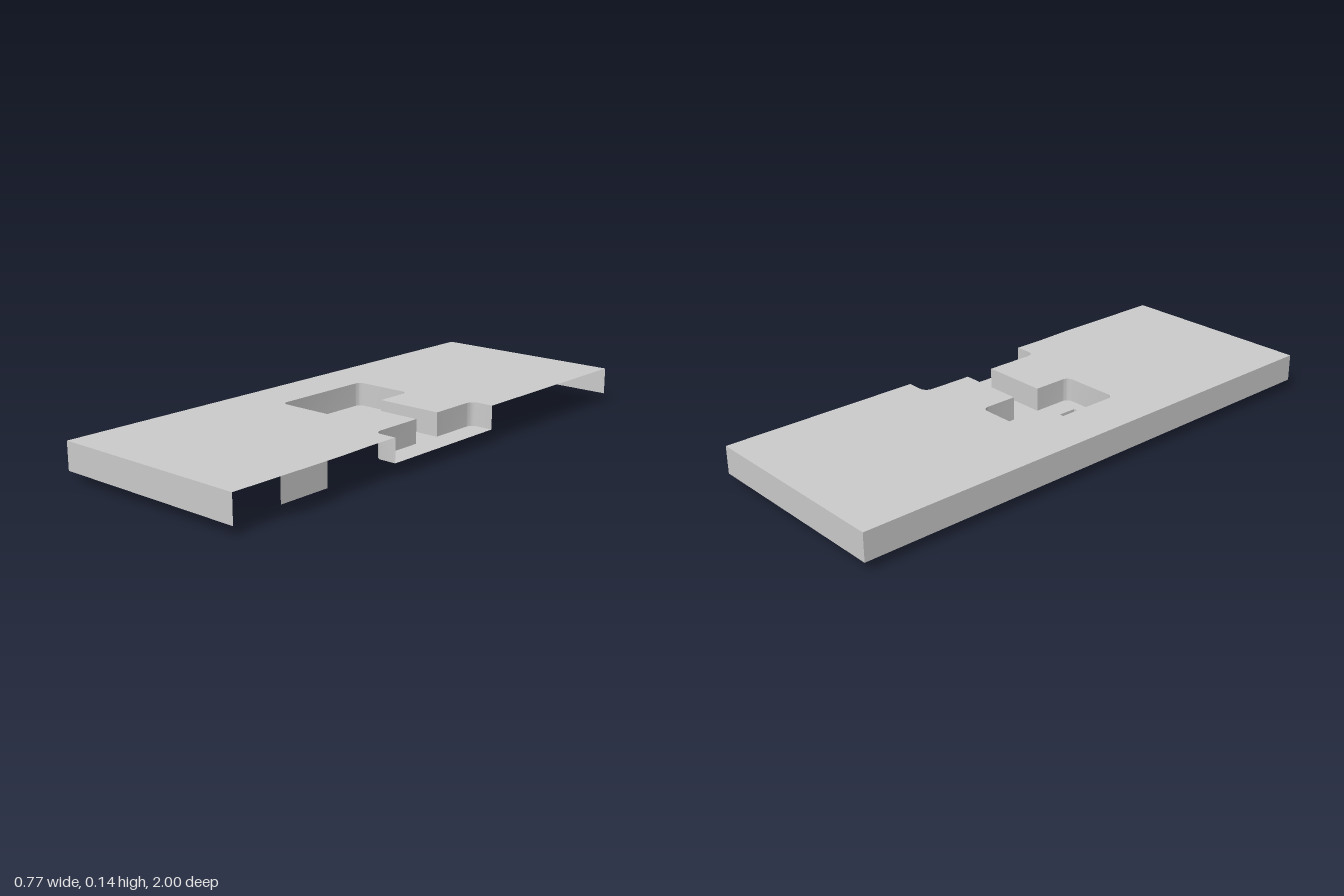
import * as THREE from 'three';
import { toCreasedNormals } from 'three/addons/utils/BufferGeometryUtils.js';

const TOP = 0.137, RIM = 0.036, FLOOR = 0.05;
const LEFT = 0.384, EDGE = 0.378;
const material = new THREE.MeshStandardMaterial({ color: 0xcccccc, side: THREE.DoubleSide });

// Turn [x, z, radius] corners into plan points, rounding corners that have a radius.
function roundCorners(corners) {
  const out = [];
  corners.forEach(([x, z, r], i) => {
    const p = new THREE.Vector2(x, z);
    if (!r) { out.push(p); return; }
    const toward = ([nx, nz]) => new THREE.Vector2(nx, nz).sub(p).setLength(r).add(p);
    const a = toward(corners[i - 1]), b = toward(corners[i + 1]);
    const centre = a.clone().add(b).sub(p);
    const start = a.clone().sub(centre), end = b.clone().sub(centre);
    for (let k = 0; k <= 6; k++) {
      const t = (k / 6) * Math.PI / 2;
      out.push(centre.clone().addScaledVector(start, Math.cos(t)).addScaledVector(end, Math.sin(t)));
    }
  });
  return out;
}

const flip = (points) => points.map((p) => new THREE.Vector2(p.x, -p.y));

// Horizontal sheet at height y, with optional holes.
function sheet(name, points, y, holes = []) {
  const shape = new THREE.Shape(flip(points));
  holes.forEach((h) => shape.holes.push(new THREE.Path(flip(h))));
  const geo = new THREE.ShapeGeometry(shape).rotateX(-Math.PI / 2).translate(0, y, 0);
  const mesh = new THREE.Mesh(geo, material);
  mesh.name = name;
  return mesh;
}

// Thin vertical wall that follows a plan path from y0 up to y1.
function wall(name, points, y0, y1) {
  const pos = [];
  for (let i = 0; i < points.length - 1; i++) {
    const { x: ax, y: az } = points[i], { x: bx, y: bz } = points[i + 1];
    pos.push(ax, y0, az, bx, y0, bz, bx, y1, bz, ax, y0, az, bx, y1, bz, ax, y1, az);
  }
  const geo = new THREE.BufferGeometry();
  geo.setAttribute('position', new THREE.Float32BufferAttribute(pos, 3));
  const mesh = new THREE.Mesh(toCreasedNormals(geo, Math.PI / 6), material);
  mesh.name = name;
  return mesh;
}

export function createModel() {
  const group = new THREE.Group();
  group.name = 'recessedTray';

  // Recess plan: wide head, narrow neck, and a pocket open at the +x edge
  const recess = roundCorners([
    [EDGE, 0.284, 0], [0.289, 0.284, 0.03], [0.289, 0.068, 0], [0.035, 0.068, 0],
    [0.035, 0.22, 0.025], [-0.197, 0.22, 0.025], [-0.197, -0.191, 0.025], [0.035, -0.191, 0.025],
    [0.035, -0.045, 0], [0.289, -0.045, 0], [0.289, -0.243, 0.03], [EDGE, -0.243, 0],
  ]);

  // Top sheet with the recess cut out of its open edge
  const frontLeft = new THREE.Vector2(LEFT, 1), backLeft = new THREE.Vector2(EDGE, -1);
  const frontRight = new THREE.Vector2(-LEFT, 1), backRight = new THREE.Vector2(-LEFT, -1);
  group.add(sheet('topPanel', [
    backRight, frontRight, frontLeft, new THREE.Vector2(LEFT, 0.55), new THREE.Vector2(EDGE, 0.4),
    ...recess, backLeft,
  ], TOP));

  // Outer skirt on three sides, and a short tab on the open side
  group.add(wall('outerSkirt', [frontLeft, frontRight, backRight, backLeft], RIM, TOP));
  group.add(wall('edgeTab', [new THREE.Vector2(LEFT, 0.61), new THREE.Vector2(LEFT, 0.81)], FLOOR, TOP));

  // Square cups sunk below the recess floor
  const s = 0.036, cx = -0.081;
  const cups = [0.141, -0.109].map((cz) =>
    [[-s, -s], [s, -s], [s, s], [-s, s]].map(([x, z]) => new THREE.Vector2(cx + x, cz + z)));
  cups.forEach((c, i) => {
    const cup = new THREE.Group();
    cup.name = i ? 'backCup' : 'frontCup';
    cup.add(wall('cupWall', [...c, c[0]], 0, FLOOR), sheet('cupBottom', c, 0));
    group.add(cup);
  });

  // Recess walls and floor
  group.add(wall('recessWall', recess, FLOOR, TOP));
  group.add(sheet('recessFloor', recess, FLOOR, cups));
  return group;
}
